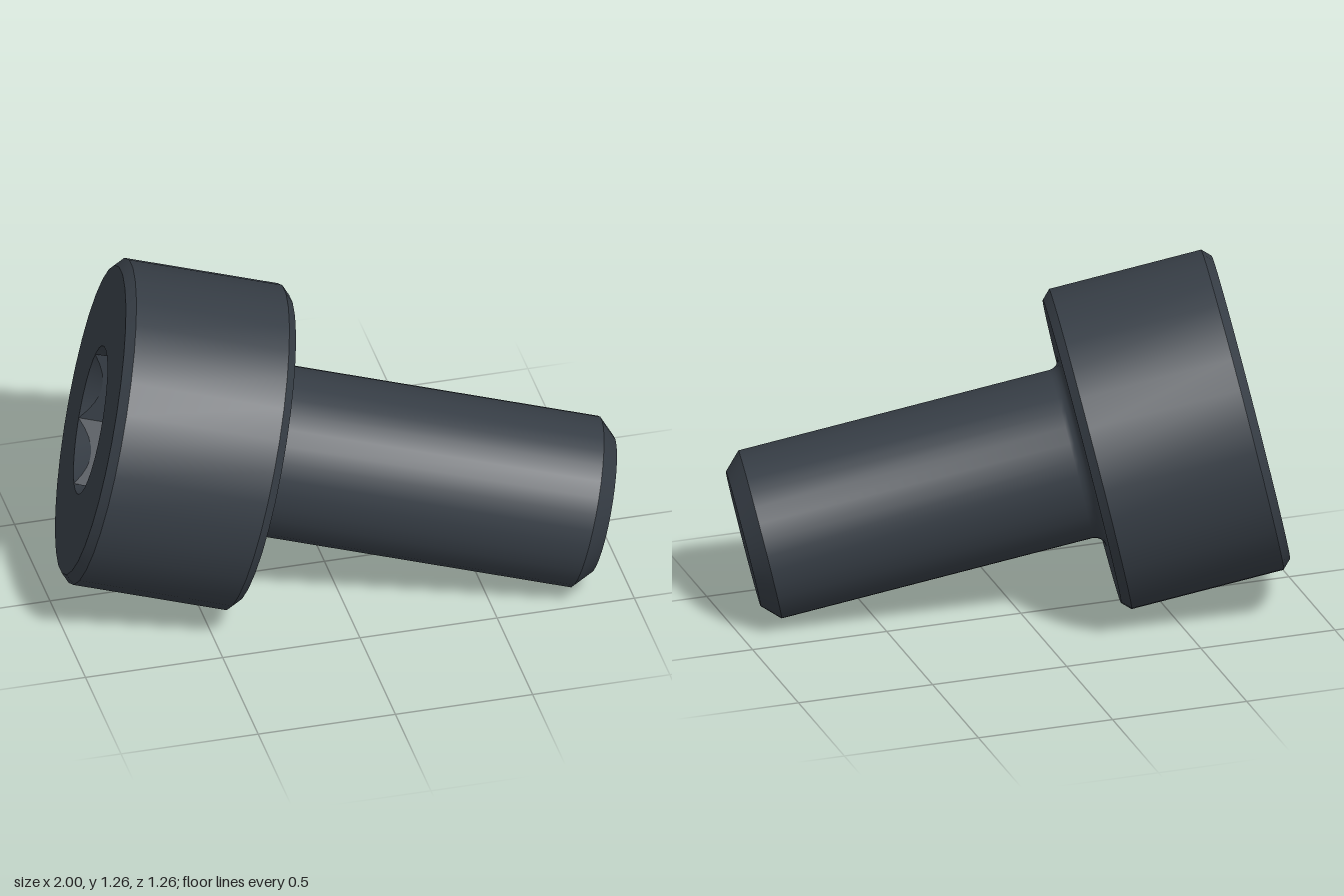
import * as THREE from 'three';
import { toCreasedNormals } from 'three/addons/utils/BufferGeometryUtils.js';

// Sizes along the screw axis: 0 is the driven face of the head
const SHANK_R = 0.307, HEAD_R = 0.585, HEAD_H = 0.616, LENGTH = 1.85;
const HEAD_BEVEL = 0.031, TIP_BEVEL = 0.061, FILLET = 0.04;
const HEX_FLAT = 0.231, HEX_CORNER = HEX_FLAT / Math.cos(Math.PI / 6), SOCKET_DEPTH = 0.308;

const lathe = (points, sides) =>
  new THREE.LatheGeometry(points.map(([r, y]) => new THREE.Vector2(r, y)), sides);

// Hexagonal recess with a conical lead-in, shaped from a lathe
function socketGeometry() {
  const geo = lathe([[0, SOCKET_DEPTH], [1, SOCKET_DEPTH], [1, 0.05], [HEX_CORNER, 0]], 48);
  const pos = geo.attributes.position;
  for (let i = 0; i < pos.count; i++) {
    const ring = i % 4;
    if (ring !== 1 && ring !== 2) continue;
    const x = pos.getX(i), z = pos.getZ(i);
    const sector = Math.PI / 3;
    const turn = (Math.atan2(x, z) + 2 * Math.PI) % sector;
    const r = HEX_FLAT / Math.cos(turn - sector / 2);
    const y = ring === 1 ? SOCKET_DEPTH : Math.max(0, (HEX_CORNER - r) * 1.5);
    pos.setXYZ(i, x * r, y, z * r);
  }
  return geo;
}

export function createModel() {
  const steel = new THREE.MeshStandardMaterial({ color: 0x363d45 });
  steel.name = 'blackened steel';

  const screw = new THREE.Group();
  screw.name = 'socketScrew';
  const add = (name, geo) => {
    const mesh = new THREE.Mesh(toCreasedNormals(geo, 0.5), steel);
    mesh.name = name;
    screw.add(mesh);
  };

  // Bevelled cylindrical head, open at the socket and at the shank
  add('head', lathe([
    [HEX_CORNER - 0.001, 0], [HEAD_R - HEAD_BEVEL, 0], [HEAD_R, HEAD_BEVEL],
    [HEAD_R, HEAD_H - HEAD_BEVEL], [HEAD_R - HEAD_BEVEL, HEAD_H], [SHANK_R + FILLET, HEAD_H],
  ], 32));

  add('hexSocket', socketGeometry());

  // Shank with a fillet under the head and a bevelled tip
  const shank = [];
  for (let i = 0; i <= 4; i++) {
    const a = (i / 4) * Math.PI / 2;
    shank.push([SHANK_R + FILLET * (1 - Math.sin(a)), HEAD_H + FILLET * (1 - Math.cos(a))]);
  }
  shank.push([SHANK_R, LENGTH - TIP_BEVEL], [SHANK_R - TIP_BEVEL, LENGTH], [0, LENGTH]);
  add('shank', lathe(shank, 32));

  // Lay the screw on its side, with one socket corner pointing up
  const axis = new THREE.Vector3(1, -0.233, 0.213).normalize();
  const up = new THREE.Vector3(0.233, 1, 0).normalize();
  const side = new THREE.Vector3().crossVectors(axis, up).normalize();
  screw.quaternion.setFromRotationMatrix(new THREE.Matrix4().makeBasis(side, axis, up));
  screw.position.set(-0.836, 0.699, -0.064);

  const model = new THREE.Group();
  model.name = 'screwModel';
  model.add(screw);
  return model;
}
